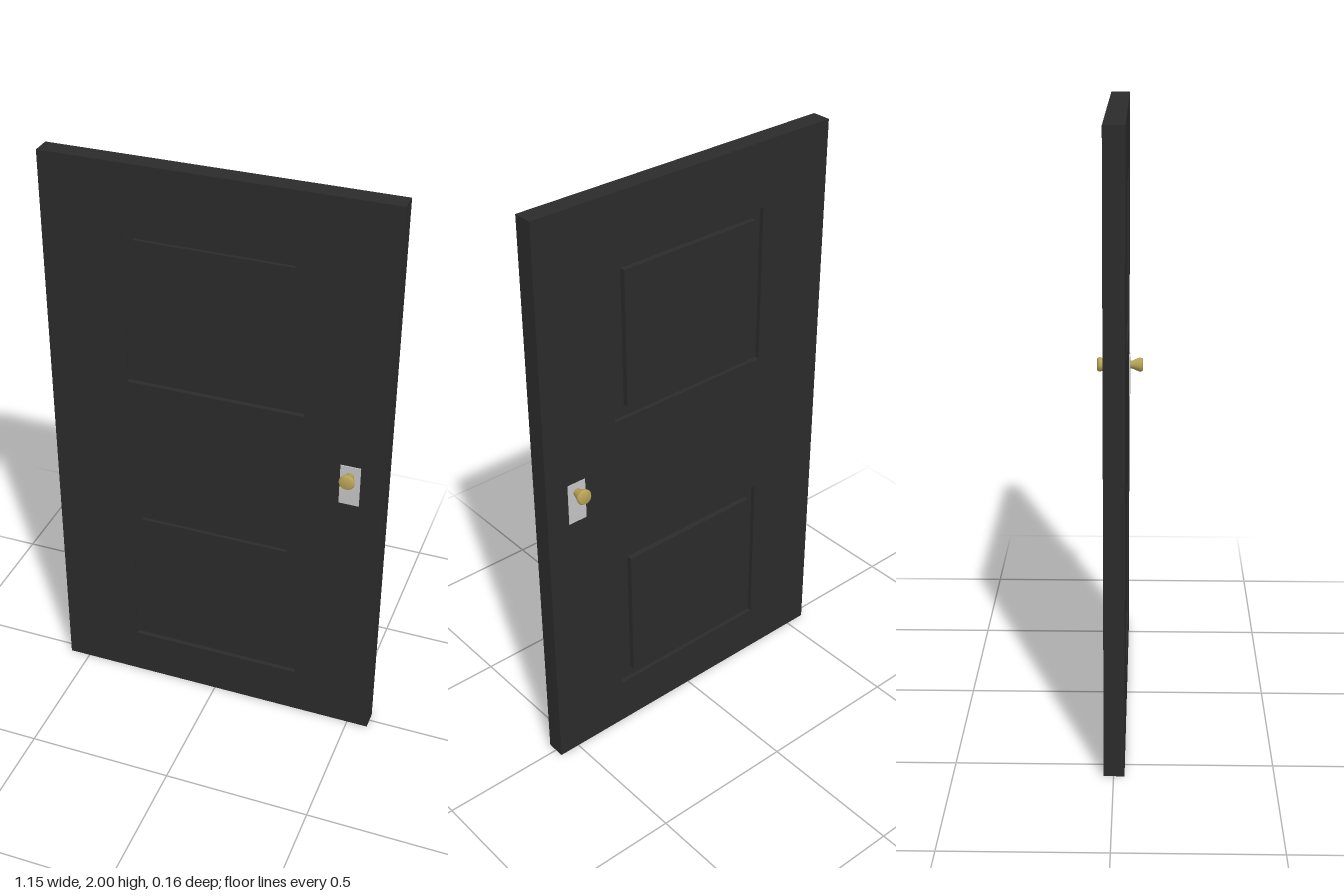
import * as THREE from 'three';

const charcoal = new THREE.MeshStandardMaterial({ color: 0x2b2b2b });
charcoal.name = 'charcoal paint';
const silver = new THREE.MeshStandardMaterial({ color: 0xc4c4c4 });
silver.name = 'silver metal';
const brass = new THREE.MeshStandardMaterial({ color: 0xb9a458 });
brass.name = 'brass';

const BACK = -0.031, FRONT = 0.034;

// Box given by its extents along each axis
function box(name, material, [x0, x1], [y0, y1], [z0, z1]) {
  const mesh = new THREE.Mesh(new THREE.BoxGeometry(x1 - x0, y1 - y0, z1 - z0), material);
  mesh.position.set((x0 + x1) / 2, (y0 + y1) / 2, (z0 + z1) / 2);
  mesh.name = name;
  return mesh;
}

function rectangle(target, [x0, x1], [y0, y1]) {
  target.moveTo(x0, y0).lineTo(x1, y0).lineTo(x1, y1).lineTo(x0, y1).closePath();
  return target;
}

export function createModel() {
  const door = new THREE.Group();
  door.name = 'door';

  const openingX = [-0.303, 0.3], panelX = [-0.268, 0.253];
  const panels = [
    { name: 'upper', opening: [1.24, 1.78], panel: [1.28, 1.75] },
    { name: 'lower', opening: [0.17, 0.727], panel: [0.21, 0.69] },
  ];

  // Door slab with two rectangular openings
  const outline = rectangle(new THREE.Shape(), [-0.573, 0.573], [0, 2]);
  for (const p of panels) outline.holes.push(rectangle(new THREE.Path(), openingX, p.opening));
  const slab = new THREE.Mesh(
    new THREE.ExtrudeGeometry(outline, { depth: FRONT - BACK, bevelEnabled: false }), charcoal);
  slab.position.z = BACK;
  slab.name = 'doorFrame';
  door.add(slab);

  // Groove floor and raised field in each opening
  for (const p of panels) {
    door.add(box(p.name + 'GrooveFloor', charcoal, openingX, p.opening, [-0.016, 0.018]));
    door.add(box(p.name + 'Panel', charcoal, panelX, p.panel, [-0.035, 0.03]));
  }

  // Flared knob profile: radius, distance from the door face
  const profile = [[0.013, 0], [0.014, 0.008], [0.025, 0.034], [0.026, 0.04], [0.021, 0.047], [0, 0.047]]
    .map(([r, d]) => new THREE.Vector2(r, d));
  const knobGeometry = new THREE.LatheGeometry(profile, 24);

  // Lock plate and knob on both faces
  for (const side of [1, -1]) {
    const face = side > 0 ? FRONT : BACK;
    const name = side > 0 ? 'front' : 'back';
    const z = [face - 0.002, face + side * 0.004].sort((a, b) => a - b);
    door.add(box(name + 'LockPlate', silver, [0.426, 0.493], [0.945, 1.09], z));

    const knob = new THREE.Mesh(knobGeometry, brass);
    knob.rotation.x = side * Math.PI / 2;
    knob.position.set(0.459, 1.055, face + side * 0.002);
    knob.name = name + 'Knob';
    door.add(knob);
  }
  return door;
}
